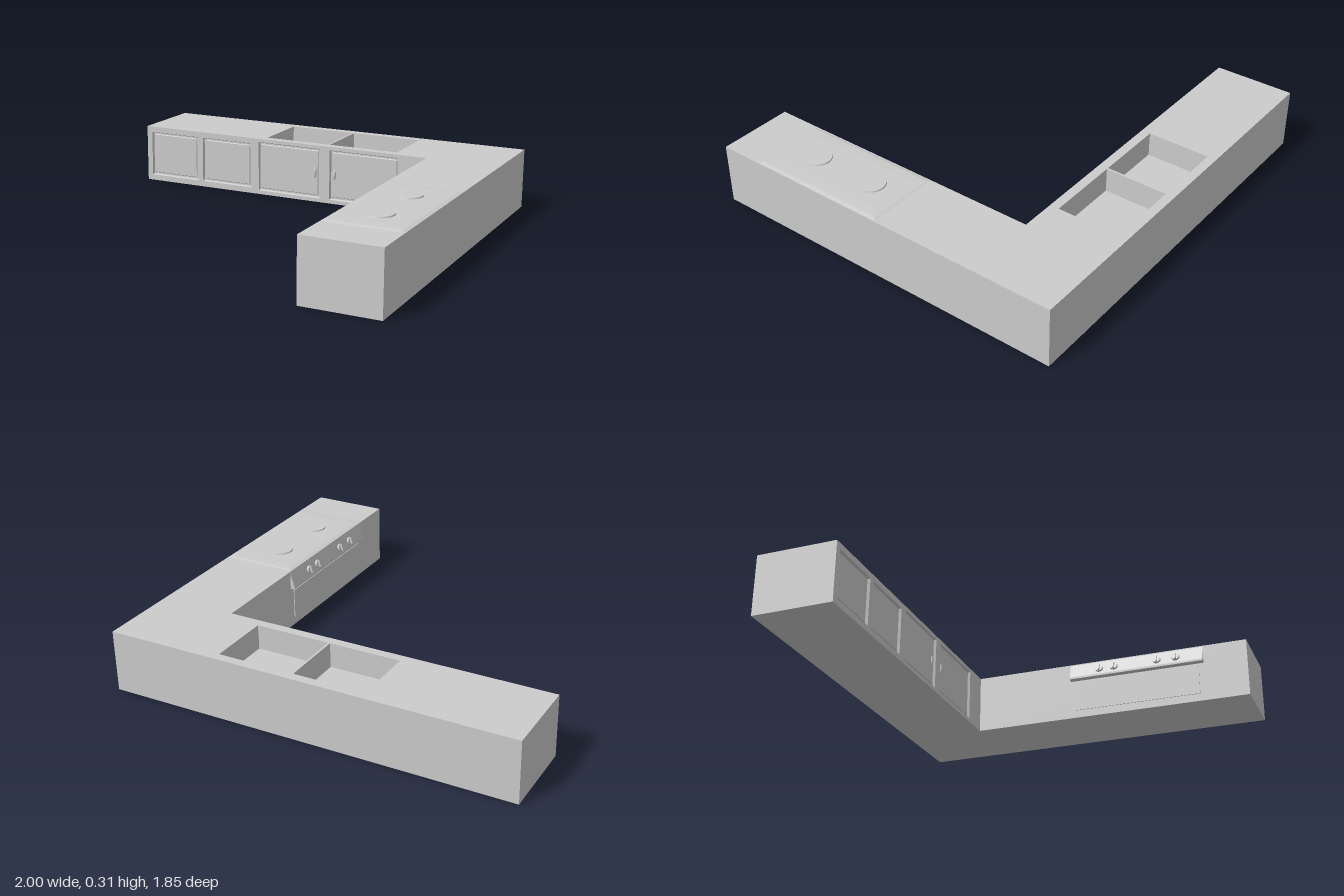
import * as THREE from 'three';
import { mergeGeometries } from 'three/addons/utils/BufferGeometryUtils.js';

const W = 1, D = 0.925, H = 0.3;      // half width, half depth, counter height
const FRONT = -0.525, INNER = 0.625;  // inner faces of the two arms

const material = new THREE.MeshStandardMaterial({ color: 0xcccccc });

function add(parent, name, geometry) {
  const mesh = new THREE.Mesh(geometry, material);
  mesh.name = name;
  parent.add(mesh);
  return mesh;
}

const rectPoints = ([x0, y0, x1, y1]) =>
  [[x0, y0], [x1, y0], [x1, y1], [x0, y1]].map(([x, y]) => new THREE.Vector2(x, y));

// Flat face from an outline with rectangular openings
function face(points, openings = []) {
  const shape = new THREE.Shape(points);
  openings.forEach((r) => shape.holes.push(new THREE.Path(rectPoints(r).reverse())));
  return new THREE.ShapeGeometry(shape);
}

// Stepped rectangular rings [inset, z] closed by a cap; used for recesses and raised slabs
function steppedRect([x0, y0, x1, y1], steps) {
  const rings = steps.map(([i, z]) =>
    rectPoints([x0 + i, y0 + i, x1 - i, y1 - i]).map((p) => [p.x, p.y, z]));
  const pos = [];
  const quad = (a, b, c, d) => pos.push(...a, ...b, ...c, ...a, ...c, ...d);
  for (let r = 0; r + 1 < rings.length; r++) {
    for (let i = 0; i < 4; i++) {
      const j = (i + 1) % 4;
      quad(rings[r][i], rings[r][j], rings[r + 1][j], rings[r + 1][i]);
    }
  }
  quad(...rings[rings.length - 1]);
  const g = new THREE.BufferGeometry();
  g.setAttribute('position', new THREE.Float32BufferAttribute(pos, 3));
  g.computeVertexNormals();
  return g;
}

// Vertical wall between two plan points, facing right of the travel direction
function wall([xa, za], [xb, zb]) {
  const len = Math.hypot(xb - xa, zb - za);
  return new THREE.PlaneGeometry(len, H)
    .rotateY(Math.atan2(za - zb, xb - xa))
    .translate((xa + xb) / 2, H / 2, (za + zb) / 2);
}

export function createModel() {
  const model = new THREE.Group();
  model.name = 'kitchenCounter';

  // L-shaped plan as [x, z]; the first edge is the cupboard front
  const plan = [[-W, FRONT], [INNER, FRONT], [INNER, D], [W, D], [W, -D], [-W, -D]];
  const basins = [[-0.28, 0.57, 0.07, 0.88], [0.08, 0.57, 0.45, 0.88]]; // x, -z
  const doors = [
    [-0.97, 0.03, -0.68, 0.27], [-0.65, 0.03, -0.355, 0.27],
    [-0.31, 0.02, 0.045, 0.282], [0.1, 0.02, 0.48, 0.282],
  ];

  // Counter shell
  const top = face(plan.map(([x, z]) => new THREE.Vector2(x, -z)), basins)
    .rotateX(-Math.PI / 2).translate(0, H, 0);
  const bottom = face(plan.map(([x, z]) => new THREE.Vector2(x, z))).rotateX(Math.PI / 2);
  const front = face(rectPoints([-W, 0, INNER, H]), doors).translate(0, 0, FRONT);
  const walls = plan.slice(1).map((p, i) => wall(p, plan[(i + 2) % plan.length]));
  add(model, 'counter', mergeGeometries([top, bottom, front, ...walls]));

  // Sink basins
  basins.forEach((r) => add(model, 'sinkBasin',
    steppedRect(r, [[0, 0], [0, -0.12]]).rotateX(-Math.PI / 2).translate(0, H, 0)));

  // Recessed cupboard doors with a bevelled reveal
  doors.forEach((r) => add(model, 'cupboardDoor',
    steppedRect(r, [[0, 0], [0.005, -0.012], [0.012, -0.012], [0.015, -0.008]])
      .translate(0, 0, FRONT)));

  // Oval door handles
  [0.015, 0.125].forEach((x) => {
    const handle = add(model, 'doorHandle', new THREE.SphereGeometry(1, 16, 10));
    handle.scale.set(0.008, 0.027, 0.008);
    handle.position.set(x, 0.153, FRONT - 0.008);
  });

  // Cooktop and burners
  add(model, 'cooktop',
    steppedRect([0.63, -0.71, 0.995, 0], [[0, 0], [0.015, 0.004], [0.06, 0.006]])
      .rotateX(-Math.PI / 2).translate(0, H, 0));
  [0.19, 0.52].forEach((z) =>
    add(model, 'burner', new THREE.CylinderGeometry(0.066, 0.07, 0.012, 32))
      .position.set(0.81, H + 0.006, z));

  // Sloping control panel along the inner face
  const profile = new THREE.Shape([
    [INNER, 0.295], [0.602, 0.22], [0.602, 0.21], [INNER, 0.205],
  ].map(([x, y]) => new THREE.Vector2(x, y)));
  add(model, 'controlPanel',
    new THREE.ExtrudeGeometry(profile, { depth: 0.71, bevelEnabled: false })
      .translate(0, 0, -0.01));

  // Knobs: a round base with a grip bar, tilted with the panel
  [0.15, 0.23, 0.46, 0.56].forEach((z) => {
    const knob = new THREE.Group();
    knob.name = 'knob';
    add(knob, 'knobBase', new THREE.CylinderGeometry(0.018, 0.022, 0.01, 20));
    add(knob, 'knobGrip', new THREE.BoxGeometry(0.034, 0.012, 0.008)).position.y = 0.01;
    knob.position.set(0.609, 0.252, z);
    knob.rotation.z = Math.PI / 2 - 0.3;
    model.add(knob);
  });

  // Thin oven door below the panel
  add(model, 'ovenDoor', new THREE.BoxGeometry(0.004, 0.15, 0.66))
    .position.set(INNER - 0.002, 0.115, 0.345);

  return model;
}
